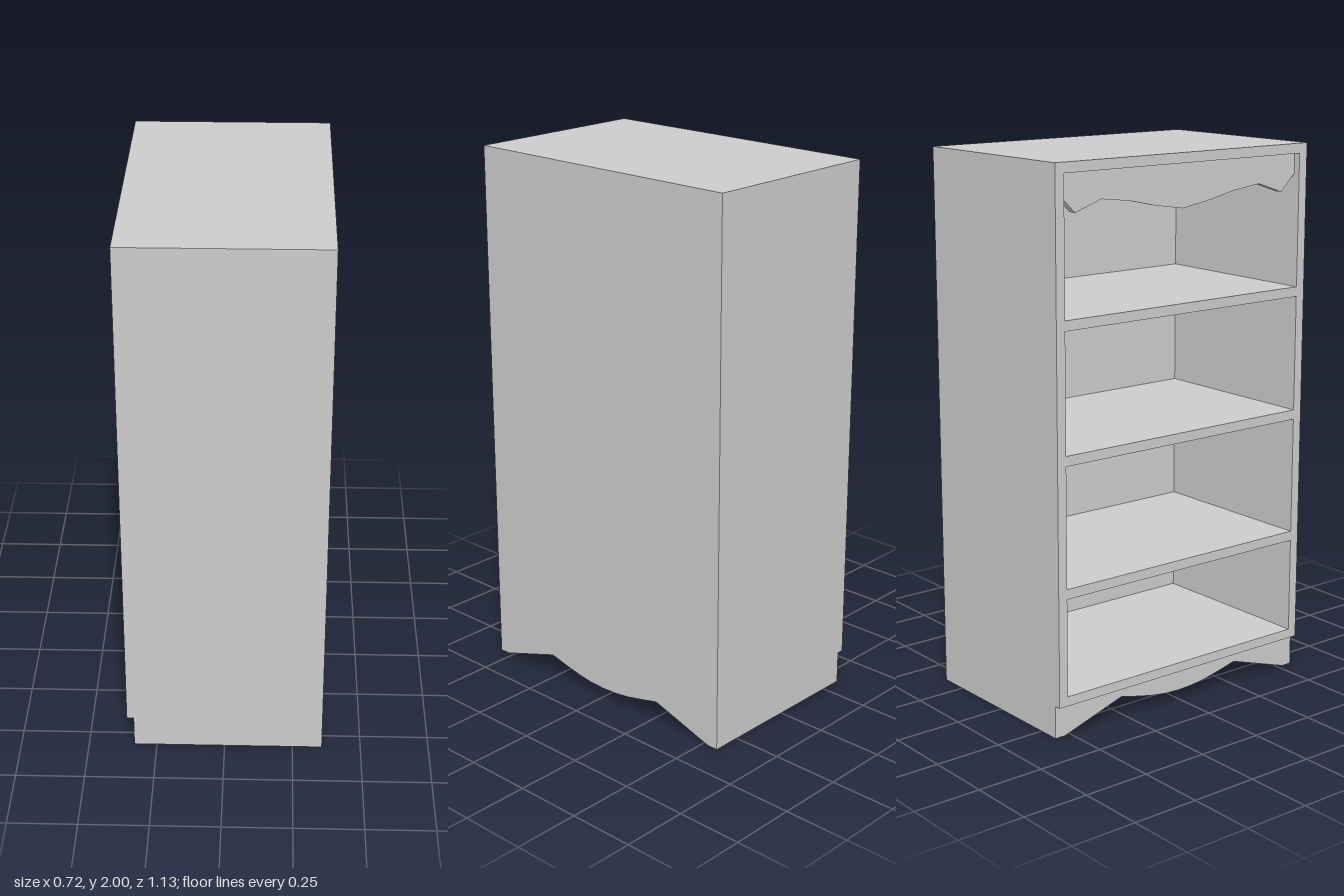
import * as THREE from 'three';

const X = 0.358, Z = 0.564, H = 2;   // half width, half length, height
const T = 0.036;                     // board thickness
const FACE = -0.333;                 // plane of the set-back plinth and valance
const FLOOR = 0.12;                  // underside of the carcass

export function createModel() {
  const group = new THREE.Group();
  group.name = 'bookcase';
  const material = new THREE.MeshStandardMaterial({ color: 0xcccccc });

  const add = (name, geometry) => {
    const mesh = new THREE.Mesh(geometry, material);
    mesh.name = name;
    group.add(mesh);
    return mesh;
  };

  // Box given by its limits on each axis
  const board = (name, x0, x1, y0, y1, z0, z1) =>
    add(name, new THREE.BoxGeometry(x1 - x0, y1 - y0, z1 - z0))
      .position.set((x0 + x1) / 2, (y0 + y1) / 2, (z0 + z1) / 2);

  // Board with a symmetrical scalloped lower edge, extruded along x.
  // The half profile runs from the outer end to the middle.
  const scalloped = (name, half, top, x0, x1) => {
    const mirrored = half.slice(0, -1).reverse().map(([z, y]) => [-z, y]);
    const end = half[0][0];
    const outline = [...half, ...mirrored, [-end, top], [end, top]];
    const shape = new THREE.Shape(outline.map(([z, y]) => new THREE.Vector2(z, y)));
    const geometry = new THREE.ExtrudeGeometry(shape, { depth: x1 - x0, bevelEnabled: false });
    geometry.rotateY(Math.PI / 2).translate(x0, 0, 0);
    add(name, geometry);
  };

  // Carcass, open towards -x
  board('backPanel', X - T, X, FLOOR, H, -Z, Z);
  board('topPanel', -X, X - T, H - T, H, -Z, Z);
  for (const [name, s] of [['frontSidePanel', 1], ['rearSidePanel', -1]]) {
    const a = s * Z, b = s * (Z - T);
    board(name, -X, X - T, FLOOR, H - T, Math.min(a, b), Math.max(a, b));
  }

  // Bottom board and three shelves, by top height
  [0.155, 0.547, 1.018, 1.48].forEach((y, i) =>
    board(i ? 'shelf' + i : 'bottomBoard', -X, X - T, i ? y - T : FLOOR, y, -Z + T, Z - T));

  // Solid plinth with a wavy underside
  scalloped('plinth', [[-Z, 0], [-0.523, 0], [-0.27, 0.08], [-0.2, 0.063], [-0.13, 0.048],
    [-0.065, 0.039], [0, 0.036]], FLOOR, FACE, X);

  // Shaped valance under the top
  scalloped('valance', [[-Z + T, 1.89], [-0.465, 1.828], [-0.355, 1.865], [-0.235, 1.85],
    [-0.12, 1.825], [0, 1.806]], H - T, FACE, FACE + 0.03);

  return group;
}
